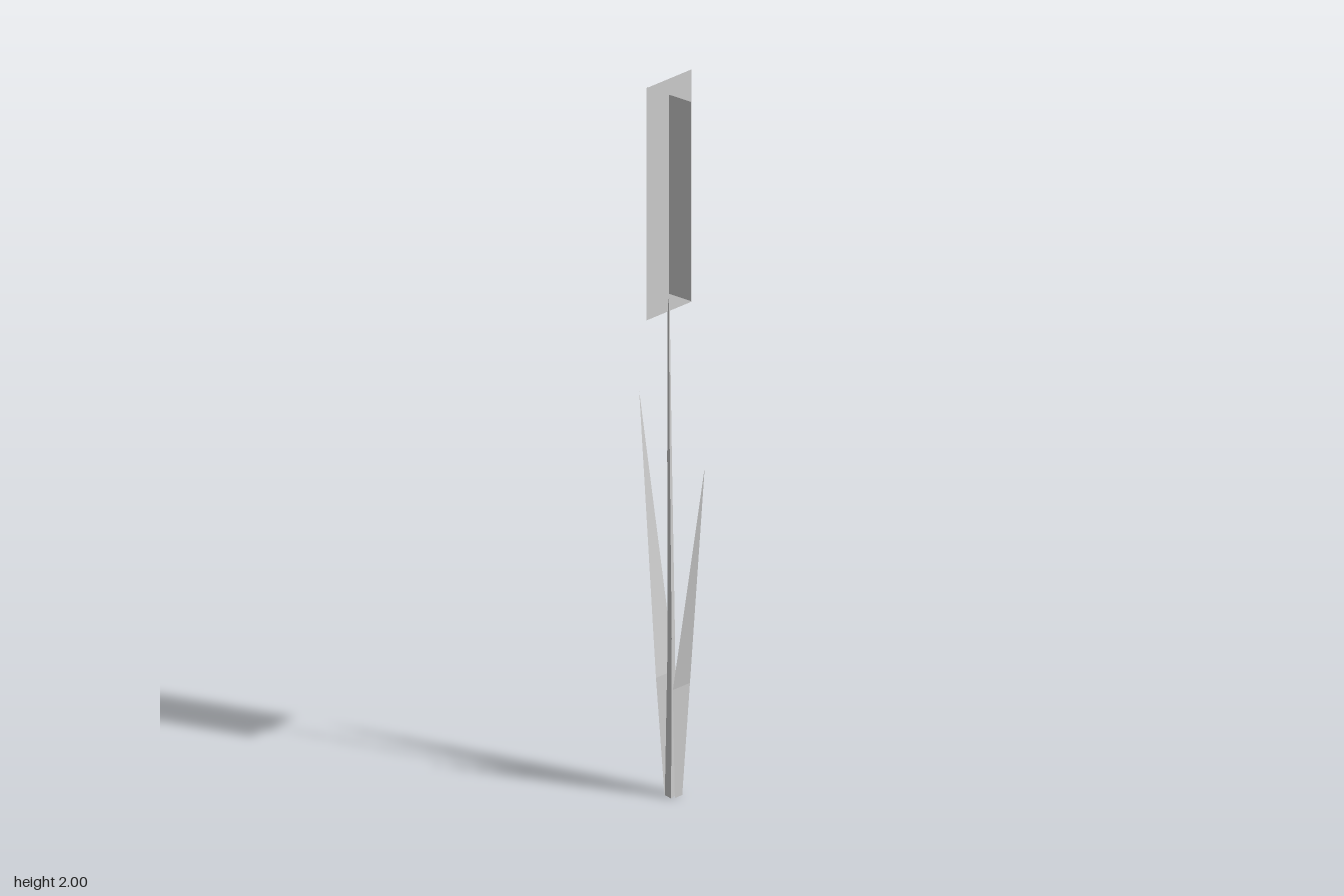
import * as THREE from 'three';

const material = new THREE.MeshStandardMaterial({
  color: 0xcccccc, flatShading: true, side: THREE.DoubleSide,
});

function part(name, geometry) {
  const mesh = new THREE.Mesh(geometry, material);
  mesh.name = name;
  return mesh;
}

// Joins equal-length rings of points with triangles.
function loft(rings, closed) {
  const n = rings[0].length, index = [];
  for (let r = 0; r < rings.length - 1; r++) {
    for (let i = 0; i < (closed ? n : n - 1); i++) {
      const a = r * n + i, b = r * n + (i + 1) % n;
      index.push(a, a + n, b, b, a + n, b + n);
    }
  }
  const geometry = new THREE.BufferGeometry();
  geometry.setAttribute('position', new THREE.Float32BufferAttribute(rings.flat(2), 3));
  geometry.setIndex(index);
  geometry.computeVertexNormals();
  return geometry;
}

// Flat blade: narrow foot, wide bend, pointed tip.
function leaf(name, footX, bendX, bendY, zBack, zFront, tip) {
  const geometry = loft([
    [[footX, 0, -0.014], [footX, 0, 0.015]],
    [[bendX, bendY, zBack], [bendX, bendY, zFront]],
  ], false);
  const p = Array.from(geometry.attributes.position.array).concat(tip);
  geometry.setAttribute('position', new THREE.Float32BufferAttribute(p, 3));
  geometry.setIndex([...geometry.index.array, 2, 4, 3]);
  geometry.computeVertexNormals();
  return part(name, geometry);
}

// Slender three-sided stem, slightly bent: x, y, z, radius.
function stem() {
  const sections = [
    [0.008, 0, 0.012, 0.017],
    [0.016, 0.45, 0.018, 0.011],
    [0.006, 0.95, 0.014, 0.007],
    [-0.007, 1.385, 0.003, 0.003],
  ];
  const rings = sections.map(([x, y, z, r]) => [0, 1, 2].map((i) => {
    const a = Math.PI / 4 + i * Math.PI * 2 / 3;
    return [x + r * Math.cos(a), y, z + r * Math.sin(a)];
  }));
  return part('stem', loft(rings, true));
}

export function createModel() {
  const group = new THREE.Group();
  group.name = 'reed';

  // Seed head made of two crossed cards
  const head = new THREE.Group();
  head.name = 'seedHead';
  const wide = part('crosswiseCard', new THREE.PlaneGeometry(0.153, 0.557));
  wide.position.set(-0.007, 1.677, 0.002);
  const deep = part('lengthwiseCard', new THREE.PlaneGeometry(0.175, 0.65));
  deep.rotation.y = Math.PI / 2;
  deep.position.set(-0.007, 1.675, 0.002);
  head.add(wide, deep);

  group.add(
    head,
    stem(),
    leaf('rightLeaf', -0.011, -0.022, 0.33, -0.038, 0.036, [-0.145, 1.08, -0.037]),
    leaf('leftLeaf', 0.025, 0.034, 0.31, -0.034, 0.033, [0.145, 0.965, 0.033]),
  );
  return group;
}
